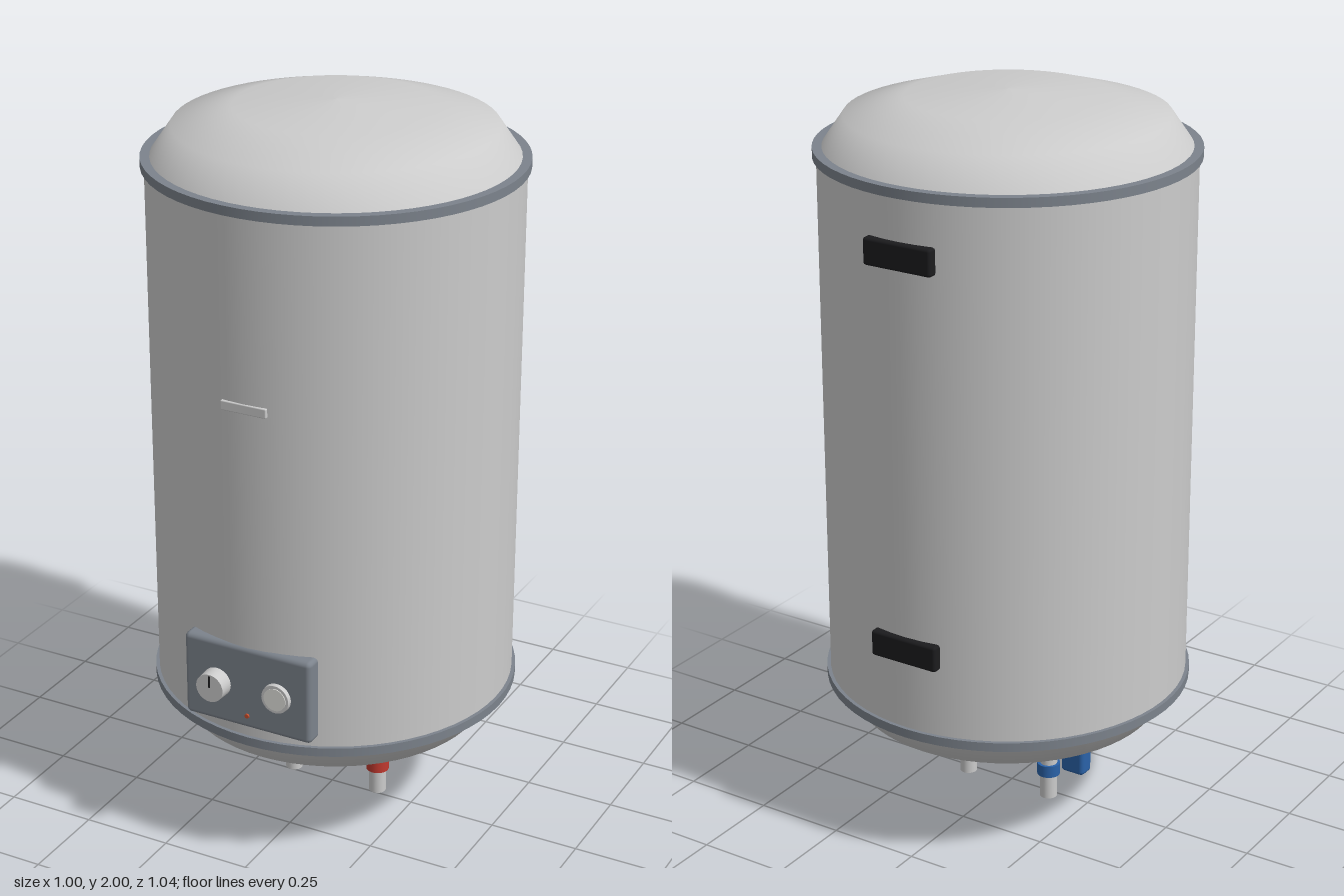
import * as THREE from 'three';
import { RoundedBoxGeometry } from 'three/addons/geometries/RoundedBoxGeometry.js';

const CZ = -0.02; // tank axis
const SEG = 64;

const mat = (color) => new THREE.MeshStandardMaterial({ color });
const grey = mat(0xcccccc), trim = mat(0x7c838c), black = mat(0x1c1c1e);
const blue = mat(0x2a62a8), red = mat(0xc0392f), lamp = mat(0xc8502e), white = mat(0xe4e4e0);

export function createModel() {
  const model = new THREE.Group();

  const add = (name, geometry, material, x, y, z) => {
    const mesh = new THREE.Mesh(geometry, material);
    mesh.name = name;
    mesh.position.set(x, y, z);
    model.add(mesh);
    return mesh;
  };
  const box = (name, w, h, d, r, material, x, y, z) =>
    add(name, new RoundedBoxGeometry(w, h, d, 2, r), material, x, y, z);
  const lathe = (pts) => new THREE.LatheGeometry(pts.map(([r, y]) => new THREE.Vector2(r, y)), SEG);
  // disc facing +z, spanning z0 to z1
  const dial = (name, r0, r1, z0, z1, material, x, y) => {
    const g = new THREE.CylinderGeometry(r1, r0, z1 - z0, 32).rotateX(Math.PI / 2);
    return add(name, g, material, x, y, (z0 + z1) / 2);
  };

  // Tank shell and shallow domed ends
  add('tankBody', new THREE.CylinderGeometry(0.49, 0.49, 1.47, SEG, 1, true), grey, 0, 1.115, CZ);
  add('topDome', lathe([[0.482, 1.85], [0.42, 1.94], [0.265, 1.985], [0, 2]]), grey, 0, 0, CZ);
  add('bottomDome', lathe([[0, 0.23], [0.265, 0.246], [0.42, 0.292], [0.482, 0.38]]), grey, 0, 0, CZ);

  // Flat seam bands where the domes meet the shell
  for (const [name, y] of [['topBand', 1.847], ['bottomBand', 0.383]])
    add(name, new THREE.CylinderGeometry(0.5, 0.5, 0.025, SEG), trim, 0, y, CZ);

  // Name plate, left blank
  box('namePlate', 0.13, 0.026, 0.03, 0.003, grey, 0, 1.333, 0.459);

  // Control panel with thermostat knob, gauge and indicator lamp
  box('controlPanel', 0.376, 0.24, 0.07, 0.014, trim, 0, 0.54, 0.441);
  dial('thermostatKnob', 0.042, 0.04, 0.47, 0.516, grey, -0.09, 0.537);
  box('knobPointer', 0.006, 0.034, 0.004, 0.001, black, -0.09, 0.556, 0.516);
  dial('gaugeBezel', 0.042, 0.04, 0.47, 0.488, grey, 0.09, 0.537);
  dial('gaugeFace', 0.032, 0.032, 0.47, 0.49, white, 0.09, 0.537);
  dial('indicatorLamp', 0.008, 0.006, 0.47, 0.48, lamp, 0, 0.458);

  // Wall brackets on the back
  for (const y of [1.687, 0.622])
    box('wallBracket', 0.2, 0.072, 0.04, 0.008, black, 0, y, -0.504);

  // Water pipes with coloured collars
  for (const [side, x, color] of [['cold', -0.134, blue], ['hot', 0.134, red]]) {
    add(side + 'Pipe', new THREE.CylinderGeometry(0.024, 0.024, 0.27, 24), grey, x, 0.135, CZ);
    add(side + 'Collar', new THREE.CylinderGeometry(0.032, 0.032, 0.034, 24), color, x, 0.087, CZ);
  }

  // Safety valve on the cold pipe
  add('valveStem', new THREE.CylinderGeometry(0.012, 0.012, 0.07, 16).rotateZ(Math.PI / 2),
    grey, -0.165, 0.16, CZ);
  box('valveHandle', 0.072, 0.1, 0.05, 0.012, blue, -0.223, 0.154, CZ);

  return model;
}
